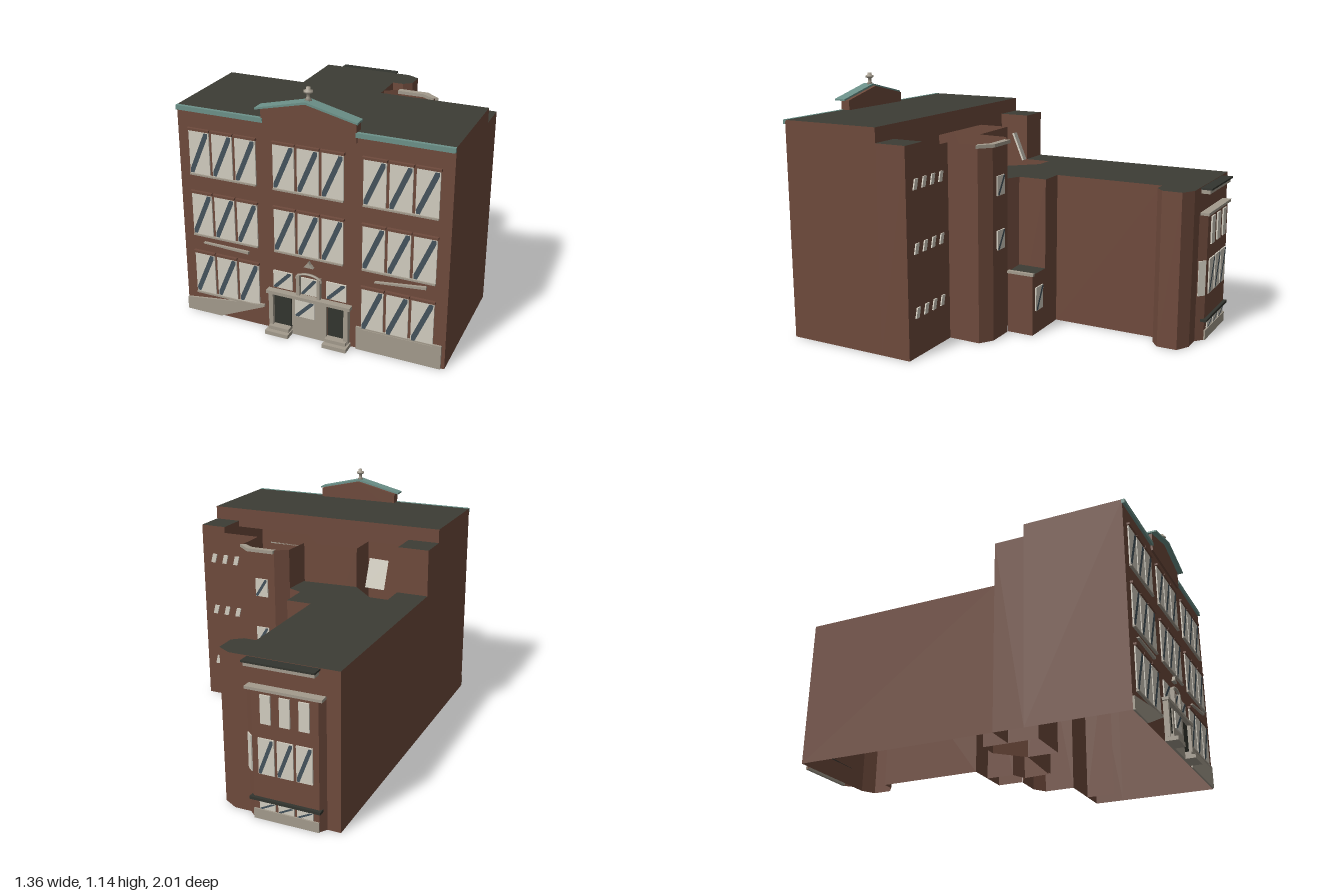
import * as THREE from 'three';

const mat = (name, color, side = THREE.DoubleSide) => {
  const m = new THREE.MeshStandardMaterial({ color, side });
  m.name = name;
  return m;
};

export function createModel() {
  const brick = mat('brick', 0x6e4a3c);
  const roofing = mat('roofing', 0x3d3d35);
  const stone = mat('stone', 0xa39b8d);
  const glass = mat('pale window', 0xd2cdc0);
  const glint = mat('window reflection', 0x45535c);
  const copper = mat('aged copper', 0x6c9189);
  const dark = mat('dark opening', 0x33352f);

  // Plan coordinates: u runs along the street front, v runs back into the plot.
  const model = new THREE.Group();
  model.name = 'building';
  const plan = new THREE.Group();
  plan.name = 'plan';
  plan.rotation.y = -Math.PI / 6;
  plan.position.set(-0.68, 0, 0.39);
  model.add(plan);

  const add = (name, geo, m, parent = plan) => {
    const mesh = new THREE.Mesh(geo, m);
    mesh.name = name;
    parent.add(mesh);
    return mesh;
  };
  const box = (name, m, u0, u1, y0, y1, v0, v1) => {
    const g = new THREE.BoxGeometry(u1 - u0, y1 - y0, v1 - v0);
    g.translate((u0 + u1) / 2, (y0 + y1) / 2, -(v0 + v1) / 2);
    return add(name, g, m);
  };
  const shapeOf = pts => new THREE.Shape(pts.map(p => new THREE.Vector2(p[0], p[1])));
  // Upright plate drawn in (u, y), thickness reaching forward from v
  const plate = (name, m, pts, v, depth) => {
    const g = new THREE.ExtrudeGeometry(shapeOf(pts), { depth, bevelEnabled: false });
    g.translate(0, 0, -v);
    return add(name, g, m);
  };
  // Ribbon of wall following a plan path
  const wall = (name, path, y0, y1) => {
    const pos = [];
    for (let i = 0; i + 1 < path.length; i++) {
      const [a, b] = [path[i], path[i + 1]];
      const A = [a[0], y0, -a[1]], B = [b[0], y0, -b[1]];
      const C = [b[0], y1, -b[1]], D = [a[0], y1, -a[1]];
      pos.push(...A, ...B, ...C, ...A, ...C, ...D);
    }
    const g = new THREE.BufferGeometry();
    g.setAttribute('position', new THREE.Float32BufferAttribute(pos, 3));
    g.computeVertexNormals();
    return add(name, g, brick);
  };
  const roof = (name, pts, y) => {
    const g = new THREE.ShapeGeometry(shapeOf(pts));
    g.rotateX(-Math.PI / 2);
    g.translate(0, y, 0);
    return add(name, g, roofing);
  };
  // Window pane with a diagonal reflection; dir -1 faces the street, +1 the back
  const pane = (u0, u1, y0, y1, v, dir = -1) => {
    box('windowPane', glass, u0, u1, y0, y1, v - 0.003, v + 0.003);
    const X = f => (dir < 0 ? u0 + f * (u1 - u0) : u1 - f * (u1 - u0));
    const Y = f => y0 + f * (y1 - y0);
    const g = new THREE.ShapeGeometry(shapeOf([
      [X(0.04), Y(0.02)], [X(0.2), Y(0.02)], [X(0.96), Y(0.9)], [X(0.96), Y(0.98)], [X(0.78), Y(0.98)], [X(0.04), Y(0.12)]]));
    g.translate(0, 0, -(v + dir * 0.005));
    add('windowReflection', g, glint);
  };

  // Main block
  const W = 1.21, D = 0.475, H = 0.985;
  wall('mainWalls', [[0, D], [0, 0], [W, 0], [W, D]], 0, H);
  wall('mainBackBand', [[W, D], [0, D]], 0.89, H);
  roof('mainRoof', [[0, 0], [W, 0], [W, D], [0, D]], H);

  // Rear corner blocks
  wall('leftCornerWalls', [[0, D], [0, 0.62], [0.15, 0.62], [0.15, D]], 0, 0.92);
  wall('rightCornerWalls', [[W, D], [W, 0.62], [1.08, 0.62], [1.08, D]], 0, 0.92);
  for (const [a, b] of [[0, 0.15], [1.08, W]])
    roof('cornerRoof', [[a, D], [b, D], [b, 0.62], [a, 0.62]], 0.92);

  // Open-topped rear wall with the canted stair tower
  wall('rearWallAndTower', [[1.08, 0.62], [0.89, 0.62], [0.89, 0.77], [0.83, 0.81], [0.7, 0.81],
    [0.64, 0.77], [0.63, 0.63], [0.357, 0.622], [0.357, D]], 0, 0.89);
  wall('courtWall', [[0.357, D], [0.15, D]], 0, 0.89);
  const coping = new THREE.ExtrudeGeometry(shapeOf([[0.7, 0.795], [0.825, 0.795], [0.875, 0.762],
    [0.905, 0.77], [0.838, 0.825], [0.7, 0.825]]), { depth: 0.015, bevelEnabled: false });
  coping.rotateX(-Math.PI / 2);
  coping.translate(0, 0.875, 0);
  add('towerCoping', coping, stone);

  // Low rear wing
  const wing = [[0, 0.62], [0.15, 0.62], [0.15, 0.742], [0.242, 0.74], [0.357, 0.622], [0.63, 0.64],
    [0.64, 0.77], [0.57, 0.8], [0.57, 0.935], [0.45, 0.935], [0.45, 1.44], [0.507, 1.44],
    [0.55, 1.475], [0.55, 1.565], [0.487, 1.6], [0, 1.6]];
  wall('wingWalls', [...wing.slice(1), wing[0]], 0, 0.7);
  roof('wingRoof', wing, 0.7);

  // Small porch beside the wing
  wall('porchWalls', [[0.695, 0.81], [0.695, 0.935], [0.57, 0.935]], 0, 0.285);
  roof('porchRoof', [[0.57, 0.8], [0.695, 0.81], [0.695, 0.935], [0.57, 0.935]], 0.285);
  box('porchCoping', stone, 0.685, 0.703, 0.28, 0.292, 0.81, 0.94);
  pane(0.6, 0.67, 0.11, 0.22, 0.938, 1);

  // Slanted courtyard window
  const skylight = add('courtyardWindow', new THREE.BoxGeometry(0.09, 0.14, 0.008), glass);
  skylight.position.set(0.25, 0.78, -0.63);
  skylight.rotation.set(0.4, 0.35, 0);

  // Street windows: three groups of three on each floor
  const groups = [0.052, 0.445, 0.843];
  const floors = [[0.105, 0.3], [0.395, 0.59], [0.685, 0.88]];
  floors.forEach(([y0, y1], f) => groups.forEach((g, k) => {
    if (f === 0 && k === 1) return;
    for (let i = 0; i < 3; i++) {
      const u = g + i * 0.109;
      pane(u, u + 0.096, y0, y1, -0.004);
      box('windowLintel', brick, u - 0.004, u + 0.1, y1 + 0.002, y1 + 0.012, -0.014, 0);
    }
    box('windowSill', stone, g, g + 0.314, y0 - 0.008, y0 - 0.001, -0.012, 0);
  }));

  // Stone base and string courses
  plate('slopedBase', stone, [[0, 0], [0, 0.06], [0.39, 0.112], [0.39, 0.1], [0.17, 0]], 0, 0.009);
  box('stoneBase', stone, 0.82, 1.195, 0, 0.11, -0.009, 0);
  for (const [a, b, t] of [[0.1, 0.32, -0.004], [0.9, 1.12, 0.01]])
    plate('stringCourse', stone, [[a, 0.35 - t], [b, 0.35 + t], [b, 0.362 + t], [a, 0.356 - t]], 0, 0.012);

  // Entrance: mirrored doorways, columns, steps and side lights about the centre line
  const C = 0.605;
  for (const s of [-1, 1]) {
    const span = (name, m, a, b, y0, y1, v0, v1) =>
      box(name, m, Math.min(C + s * a, C + s * b), Math.max(C + s * a, C + s * b), y0, y1, v0, v1);
    span('doorOpening', dark, 0.085, 0.165, 0.03, 0.186, -0.008, 0);
    span('doorColumn', stone, 0.165, 0.185, 0.02, 0.19, -0.025, 0);
    span('lowerStep', stone, 0.08, 0.19, 0, 0.018, -0.06, 0);
    span('upperStep', stone, 0.085, 0.18, 0.018, 0.034, -0.04, 0);
    const c = C + s * 0.124;
    pane(c - 0.045, c + 0.045, 0.213, 0.295, -0.004);
    span('archPost', stone, 0.04, 0.055, 0.205, 0.3, -0.02, 0);
  }
  box('entrancePanel', stone, C - 0.08, C + 0.08, 0, 0.19, -0.012, 0);
  pane(0.543, 0.635, 0.1, 0.182, -0.016);
  box('entranceLintel', stone, C - 0.195, C + 0.195, 0.188, 0.203, -0.03, 0);
  pane(C - 0.037, C + 0.037, 0.21, 0.29, -0.006);
  const arch = add('entranceArch', new THREE.TorusGeometry(0.055, 0.008, 6, 12, Math.PI), stone);
  arch.position.set(C, 0.285, 0.012);
  arch.scale.y = 0.5;
  plate('entranceCrest', stone, [[C - 0.022, 0.345], [C + 0.022, 0.345], [C + 0.008, 0.36], [C, 0.375], [C - 0.008, 0.36]], 0, 0.015);

  // Cornice and pediment with finial
  for (const [a, b] of [[0, 0.404], [0.81, W]]) box('frontCornice', copper, a, b, 0.966, 0.986, -0.012, 0.004);
  plate('pedimentWall', brick, [[C - 0.208, 0.94], [C + 0.208, 0.94], [C + 0.208, 1.03], [C, 1.08], [C - 0.208, 1.03]], 0.035, 0.045);
  plate('pedimentRoof', copper, [[C - 0.222, 1.028], [C, 1.08], [C + 0.222, 1.028], [C + 0.222, 1.036], [C, 1.09], [C - 0.222, 1.036]], 0.02, 0.055);
  const finial = new THREE.LatheGeometry([[0, 1.08], [0.016, 1.085], [0.008, 1.1], [0.008, 1.115], [0.02, 1.12],
    [0.02, 1.128], [0.01, 1.132], [0.01, 1.142], [0, 1.142]].map(p => new THREE.Vector2(...p)), 8);
  finial.translate(C, 0, 0);
  add('finial', finial, stone);

  // Slanted vents on the rear wall
  for (const y of [0.175, 0.455, 0.73]) for (let i = 0; i < 4; i++) {
    const u = 0.935 + i * 0.064;
    plate('ventWindow', glass, [[u + 0.012, y], [u + 0.036, y], [u + 0.024, y + 0.045], [u, y + 0.045]], 0.627, 0.006);
  }
  // Tower windows
  for (const y of [0.41, 0.655]) pane(0.735, 0.8, y, y + 0.088, 0.814, 1);

  // Bay at the end of the wing
  const bay = [[0.06, 1.6], [0.08, 1.63], [0.375, 1.63], [0.41, 1.6]];
  wall('bayWalls', bay, 0, 0.575);
  roof('bayRoof', bay, 0.575);
  box('bayCap', stone, 0.06, 0.4, 0.575, 0.587, 1.6, 1.64);
  box('bayBand', dark, 0.07, 0.39, 0.088, 0.1, 1.6, 1.645);
  box('bayBase', stone, 0.08, 0.375, 0, 0.045, 1.625, 1.637);
  for (let i = 0; i < 3; i++) {
    const u = 0.105 + i * 0.085;
    pane(u, u + 0.072, 0.21, 0.37, 1.634, 1);
    pane(u, u + 0.072, 0.05, 0.082, 1.634, 1);
    box('bayUpperWindow', glass, u + 0.012, u + 0.058, 0.435, 0.56, 1.63, 1.637);
  }
  const sideLight = add('baySideWindow', new THREE.BoxGeometry(0.036, 0.16, 0.006), glass);
  sideLight.position.set(0.394, 0.29, -1.617);
  sideLight.rotation.y = Math.atan2(-0.03, 0.035) + Math.PI / 2 + 0.05;
  sideLight.rotation.y = Math.atan2(-0.03, 0.035);
  box('wingCornice', stone, 0.09, 0.4, 0.672, 0.69, 1.6, 1.64);
  box('wingCorniceEdge', dark, 0.085, 0.405, 0.69, 0.698, 1.6, 1.65);

  return model;
}
